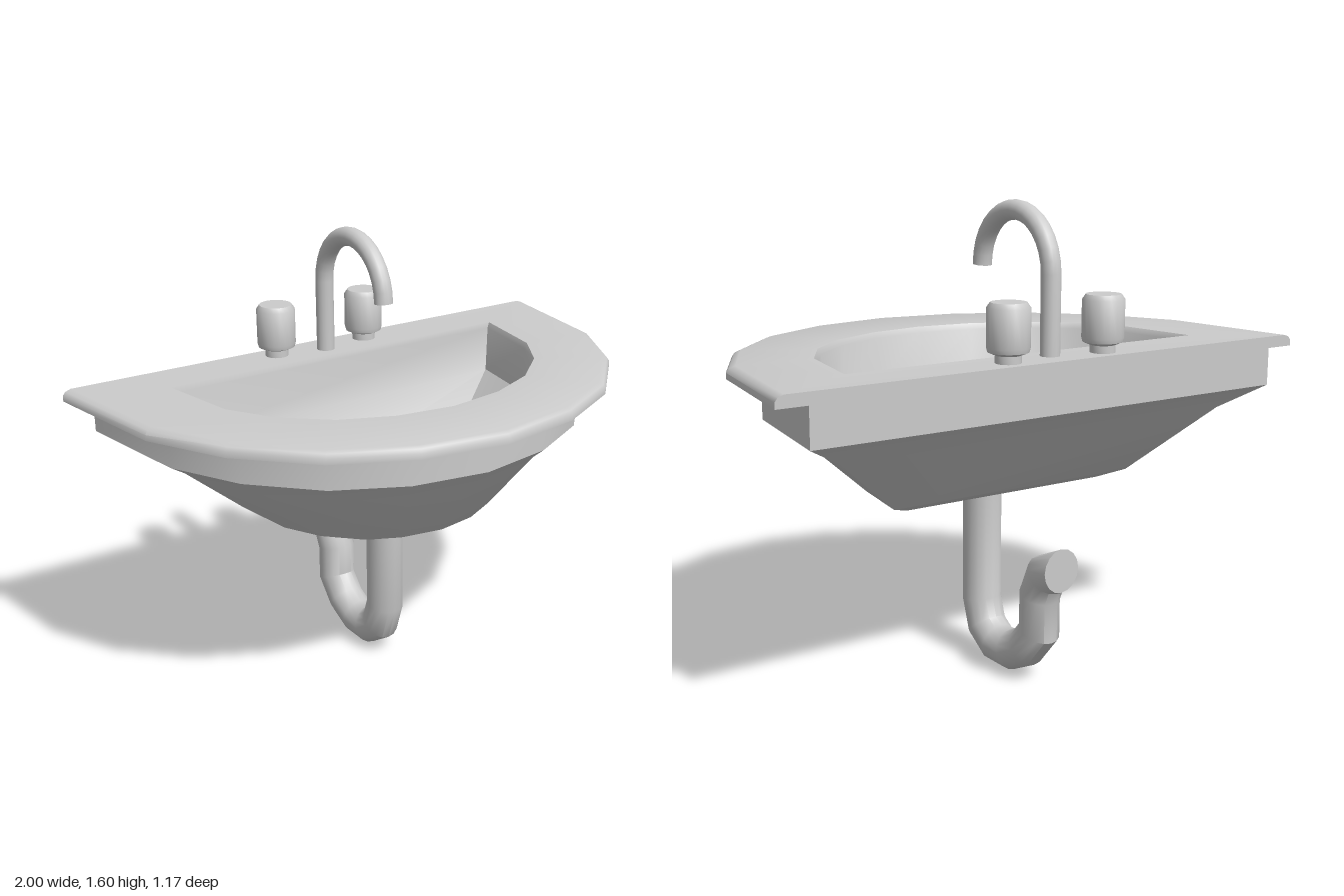
import * as THREE from 'three';
import { toCreasedNormals } from 'three/addons/utils/BufferGeometryUtils.js';

const CREASE = 0.7;

// Skin a list of closed rings (arrays of Vector3) and cap both ends
function loft(rings) {
  const n = rings[0].length, pos = [];
  const tri = (...pts) => pts.forEach(p => pos.push(p.x, p.y, p.z));
  const centre = ring => ring.reduce((s, p) => s.add(p), new THREE.Vector3()).divideScalar(n);
  const first = rings[0], last = rings[rings.length - 1];
  const c0 = centre(first), c1 = centre(last);
  for (let j = 0; j < n; j++) {
    const k = (j + 1) % n;
    for (let i = 0; i < rings.length - 1; i++) {
      const a = rings[i], b = rings[i + 1];
      tri(a[j], a[k], b[k]);
      tri(a[j], b[k], b[j]);
    }
    tri(c0, first[k], first[j]);
    tri(c1, last[j], last[k]);
  }
  const g = new THREE.BufferGeometry();
  g.setAttribute('position', new THREE.Float32BufferAttribute(pos, 3));
  return toCreasedNormals(g, CREASE);
}

// D-shaped outline: straight back, faceted round front
const HALF = [[1, 0], [0.925, 0.425], [0.785, 0.655], [0.565, 0.845], [0.3, 0.957], [0, 1]];
const OUTLINE = [...HALF, ...HALF.slice(0, -1).reverse().map(([x, z]) => [-x, z])];
const dRing = ([halfWidth, back, front, y]) =>
  OUTLINE.map(([x, z]) => new THREE.Vector3(x * halfWidth, y, back + z * (front - back)));

// Round pipe with mitred joints along [z, y] points; the last ring faces endDir if given
function pipe(path, radius, sides, endDir) {
  const pts = path.map(([z, y]) => new THREE.Vector3(0, y, z));
  const dir = i => pts[i + 1].clone().sub(pts[i]).normalize();
  const u = new THREE.Vector3(1, 0, 0), end = pts.length - 1;
  return loft(pts.map((p, i) => {
    const before = dir(Math.max(i - 1, 0));
    let t = i === end ? (endDir || before).clone() : before.clone().add(dir(i)).normalize();
    const v = t.clone().cross(u).divideScalar(t.dot(before));
    return Array.from({ length: sides }, (_, j) => {
      const a = (j / sides) * Math.PI * 2;
      return p.clone().addScaledVector(u, radius * Math.cos(a)).addScaledVector(v, radius * Math.sin(a));
    });
  }));
}

export function createModel() {
  const group = new THREE.Group();
  const material = new THREE.MeshStandardMaterial({ color: 0xcccccc });
  const add = (name, geometry, x = 0, y = 0, z = 0) => {
    const mesh = new THREE.Mesh(geometry, material);
    mesh.name = name;
    mesh.position.set(x, y, z);
    group.add(mesh);
  };

  // Basin: from the bowl floor, up over the rim and down the outside
  // each ring is [half width, back z, front z, y]
  add('basin', loft([
    [0.35, -0.23, 0.12, 0.68],
    [0.67, -0.4, 0.27, 0.93],
    [0.675, -0.4, 0.275, 1.1],
    [0.685, -0.405, 0.29, 1.12],
    [0.97, -0.585, 0.56, 1.12],
    [0.99, -0.585, 0.575, 1.113],
    [1, -0.585, 0.583, 1.1],
    [1, -0.585, 0.583, 1.08],
    [0.895, -0.585, 0.48, 1.08],
    [0.895, -0.585, 0.48, 0.95],
    [0.75, -0.49, 0.39, 0.87],
    [0.475, -0.33, 0.23, 0.65],
    [0.39, -0.27, 0.17, 0.62],
    [0.27, -0.2, 0.09, 0.602],
  ].map(dRing)));

  // Gooseneck spout
  const neck = [[-0.48, 1.1]];
  for (let i = 0; i <= 16; i++) {
    const a = (i / 16) * Math.PI;
    neck.push([-0.287 - 0.193 * Math.cos(a), 1.38 + 0.193 * Math.sin(a)]);
  }
  add('spout', pipe(neck, 0.033, 16), -0.02);

  // Tap knobs
  const knob = [[0, 0], [0.042, 0], [0.042, 0.025], [0.066, 0.035], [0.07, 0.05],
    [0.07, 0.173], [0.058, 0.19], [0, 0.19]].map(p => new THREE.Vector2(...p));
  for (const [name, x] of [['rightKnob', -0.207], ['leftKnob', 0.168]]) {
    add(name, toCreasedNormals(new THREE.LatheGeometry(knob, 20), CREASE), x, 1.12, -0.515);
  }

  // Drain trap, cut off flush with the wall
  add('drainPipe', pipe([
    [-0.127, 0.64], [-0.127, 0.21], [-0.16, 0.115], [-0.228, 0.071], [-0.315, 0.071],
    [-0.4, 0.112], [-0.468, 0.19], [-0.468, 0.315], [-0.505, 0.395], [-0.585, 0.43],
  ], 0.068, 16, new THREE.Vector3(0, 0, -1)));

  return group;
}
